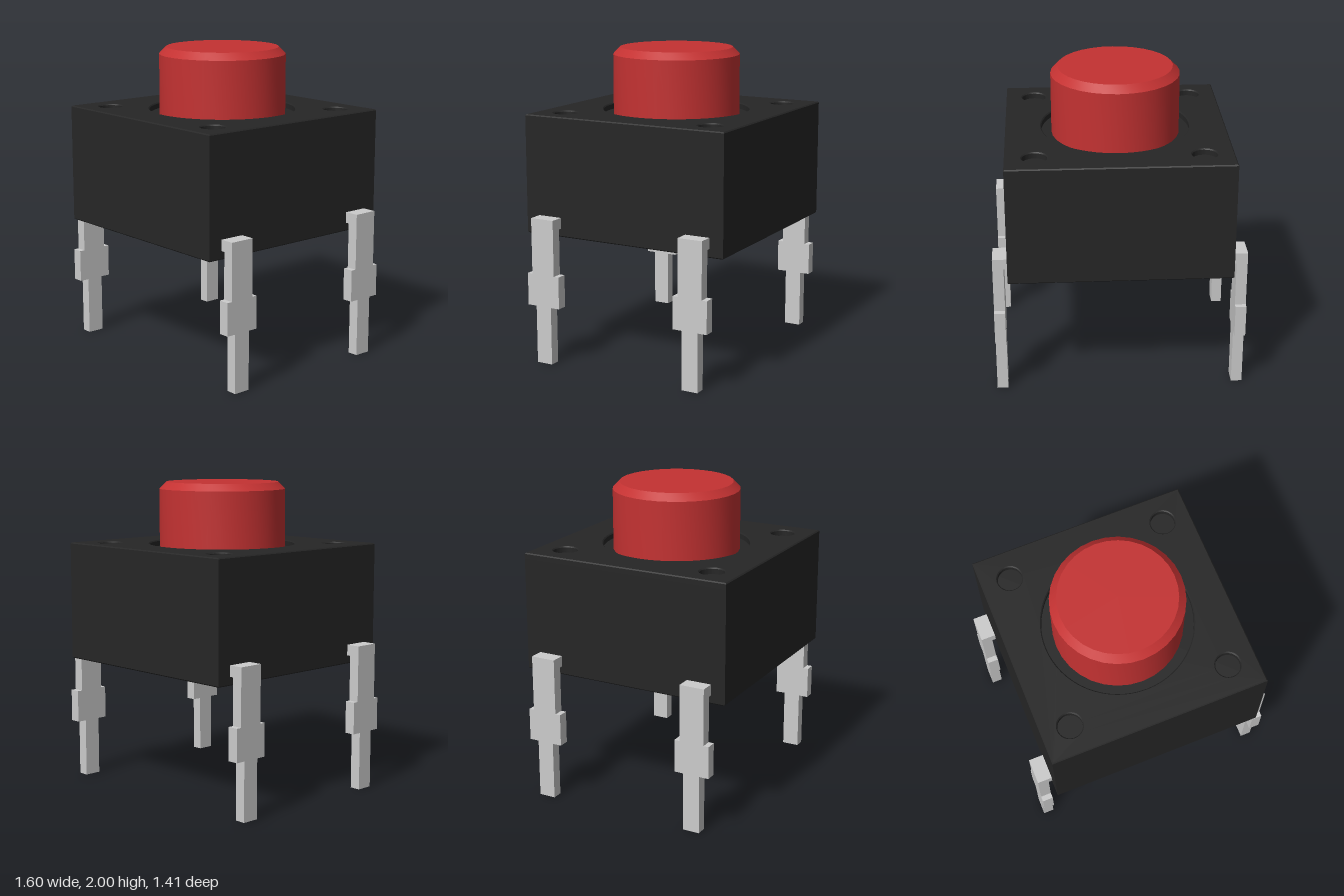
import * as THREE from 'three';
import { toCreasedNormals } from 'three/addons/utils/BufferGeometryUtils.js';

const HALF = 0.705, BASE = 0.83, FLOOR = 1.56, TOP = 1.6, BEVEL = 0.007;
const LEG_Z = 0.53;

const mat = (color) => new THREE.MeshStandardMaterial({ color });
const v = (x, y) => new THREE.Vector2(x, y);

function mesh(name, geometry, material) {
  const m = new THREE.Mesh(geometry, material);
  m.name = name;
  return m;
}

// Square housing block with a fine bottom bevel: a four-sided lathe
function housingGeometry() {
  const d = Math.SQRT2;
  const g = new THREE.LatheGeometry([
    v(0, BASE), v((HALF - BEVEL) * d, BASE), v(HALF * d, BASE + BEVEL),
    v(HALF * d, FLOOR), v(0, FLOOR),
  ], 4);
  g.rotateY(Math.PI / 4);
  return toCreasedNormals(g, 0.3);
}

// Top plate with the button well and four corner recesses
function coverGeometry() {
  const s = new THREE.Shape([v(-HALF, -HALF), v(HALF, -HALF), v(HALF, HALF), v(-HALF, HALF)]);
  const hole = (x, y, r) => s.holes.push(new THREE.Path().absarc(x, y, r, 0, Math.PI * 2, true));
  hole(0, 0, 0.475);
  for (const x of [-0.52, 0.52]) for (const y of [-0.52, 0.52]) hole(x, y, 0.078);
  const g = new THREE.ExtrudeGeometry(s, {
    depth: TOP - FLOOR - BEVEL, bevelEnabled: true, bevelSegments: 1,
    bevelSize: BEVEL, bevelThickness: BEVEL, bevelOffset: -BEVEL, curveSegments: 32,
  });
  g.rotateX(-Math.PI / 2);
  g.translate(0, FLOOR, 0);
  return toCreasedNormals(g, 0.5);
}

// Round plunger with a chamfered rim
function buttonGeometry() {
  const g = new THREE.LatheGeometry([
    v(0, FLOOR), v(0.41, FLOOR), v(0.41, 1.955), v(0.365, 2), v(0, 2),
  ], 32);
  return toCreasedNormals(g, 0.5);
}

// Stepped flat pin, bent into the housing at its top
function createLeg(material) {
  const leg = new THREE.Group();
  const side = [[0.055, 0], [0.055, 0.38], [0.117, 0.38], [0.117, 0.59], [0.082, 0.59], [0.082, 0.955]];
  const outline = [
    ...side.map(([x, y]) => v(x, y)),
    ...side.slice().reverse().map(([x, y]) => v(-x, y)),
  ];
  const pin = new THREE.ExtrudeGeometry(new THREE.Shape(outline), { depth: 0.07, bevelEnabled: false });
  pin.rotateY(-Math.PI / 2);
  pin.translate(0.8, 0, 0);
  const tab = new THREE.BoxGeometry(0.04, 0.07, 0.164);
  tab.translate(0.71, 0.92, 0);
  leg.add(mesh('pin', pin, material), mesh('pinTab', tab, material));
  return leg;
}

export function createModel() {
  const model = new THREE.Group();
  model.name = 'pushButtonSwitch';
  const black = mat(0x262626), red = mat(0xc43232), metal = mat(0xcccccc);

  model.add(
    mesh('housing', housingGeometry(), black),
    mesh('cover', coverGeometry(), black),
    mesh('button', buttonGeometry(), red),
  );

  // Two legs on each side
  for (const sx of [1, -1]) {
    for (const sz of [1, -1]) {
      const leg = createLeg(metal);
      leg.name = (sz > 0 ? 'front' : 'back') + (sx > 0 ? 'Left' : 'Right') + 'Leg';
      leg.rotation.y = sx > 0 ? 0 : Math.PI;
      leg.position.z = sz * LEG_Z;
      model.add(leg);
    }
  }
  return model;
}
